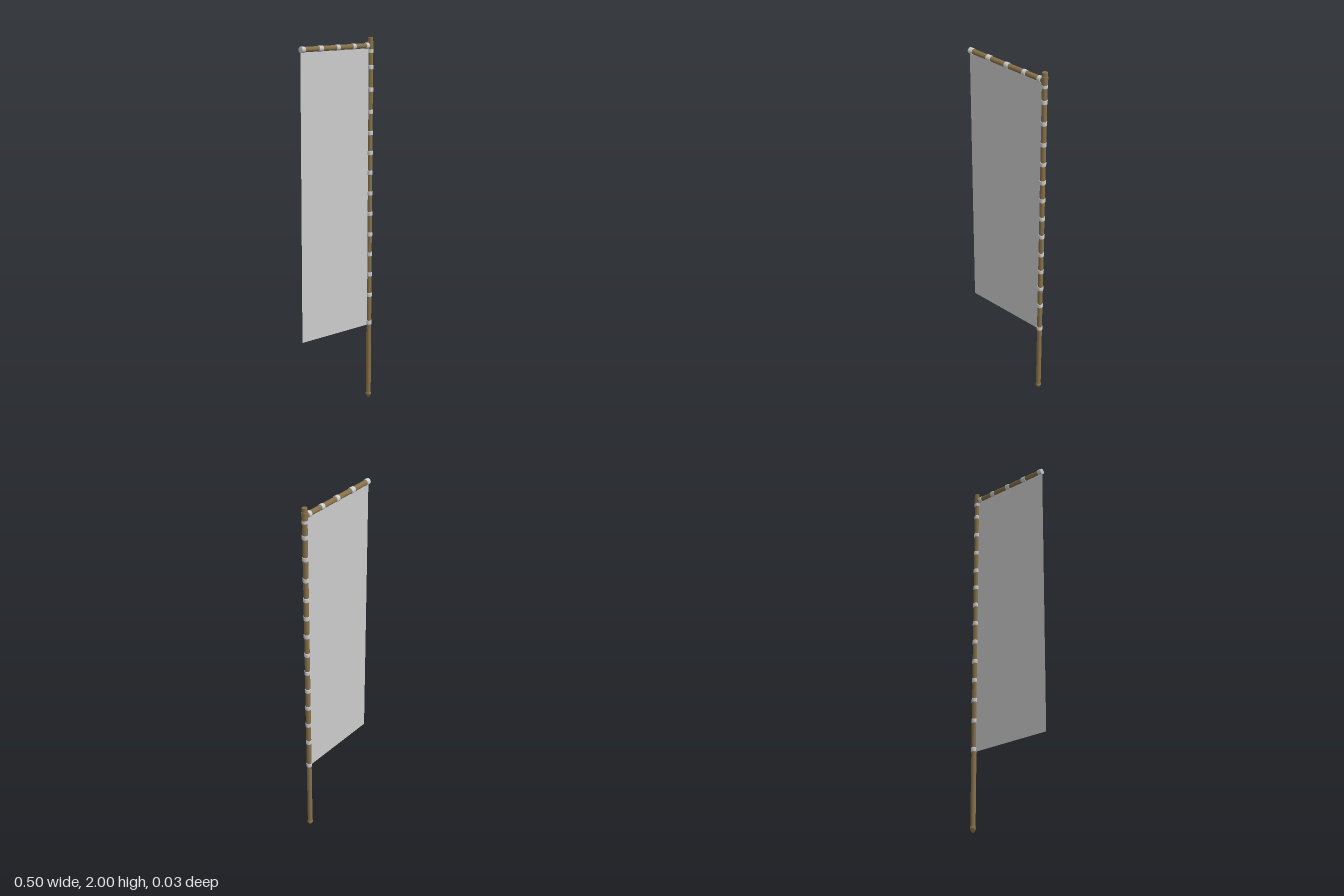
import * as THREE from 'three';

const POLE_X = 0.232, BAR_Y = 1.957, ROD_R = 0.0135, RING_R = 0.016;

export function createModel() {
  const model = new THREE.Group();
  const wood = new THREE.MeshStandardMaterial({ color: 0x86714a });
  const grey = new THREE.MeshStandardMaterial({ color: 0xcccccc });
  const cloth = new THREE.MeshStandardMaterial({ color: 0xcccccc, side: THREE.DoubleSide });

  function add(name, geometry, material, x, y, parent = model) {
    const mesh = new THREE.Mesh(geometry, material);
    mesh.name = name;
    mesh.position.set(x, y, 0);
    parent.add(mesh);
    return mesh;
  }

  // Short sleeve with softly bevelled rims, centred on its own axis
  function sleeve(radius, height) {
    const h = height / 2, b = 0.0025;
    const profile = [[0, -h], [radius - 0.001, -h], [radius, -h + b], [radius, h - b], [radius - 0.001, h], [0, h]];
    return new THREE.LatheGeometry(profile.map(([r, y]) => new THREE.Vector2(r, y)), 24);
  }

  // Upright pole and its pointed foot
  add('pole', new THREE.CylinderGeometry(ROD_R, ROD_R, 1.97, 24), wood, POLE_X, 1.015);
  const foot = [[0, 0], [0.005, 0.003], [0.0155, 0.02], [0.0155, 0.026], [0.0125, 0.036], [0, 0.036]];
  add('poleFoot', new THREE.LatheGeometry(foot.map(([r, y]) => new THREE.Vector2(r, y)), 24), wood, POLE_X, 0);

  // Collar joining the crossbar to the pole
  add('poleCollar', sleeve(RING_R, 0.045), wood, POLE_X, BAR_Y);

  // Horizontal crossbar
  const left = -0.246, length = POLE_X - left;
  const bar = add('crossbar', new THREE.CylinderGeometry(ROD_R, ROD_R, length, 24), wood, left + length / 2, BAR_Y);
  bar.rotation.z = Math.PI / 2;

  // Ties holding the cloth to the crossbar: centre and width
  const barTies = new THREE.Group();
  barTies.name = 'crossbarTies';
  model.add(barTies);
  for (const [x, w] of [[-0.2365, 0.025], [-0.119, 0.028], [-0.003, 0.025], [0.109, 0.023], [0.203, 0.021]]) {
    add('crossbarTie', sleeve(RING_R, w), grey, x, BAR_Y, barTies).rotation.z = Math.PI / 2;
  }

  // Ties holding the cloth to the pole
  const poleTies = new THREE.Group();
  poleTies.name = 'poleTies';
  model.add(poleTies);
  const tieGeometry = sleeve(RING_R, 0.023);
  for (const y of [1.93, 1.845, 1.727, 1.61, 1.497, 1.39, 1.283, 1.17, 1.058, 0.943, 0.832, 0.718, 0.601, 0.442]) {
    add('poleTie', tieGeometry, grey, POLE_X, y, poleTies);
  }

  // Hanging cloth, a single thin sheet
  const x0 = -0.249, x1 = 0.225, y0 = 0.43, y1 = 1.955;
  add('bannerCloth', new THREE.PlaneGeometry(x1 - x0, y1 - y0), cloth, (x0 + x1) / 2, (y0 + y1) / 2);

  return model;
}
